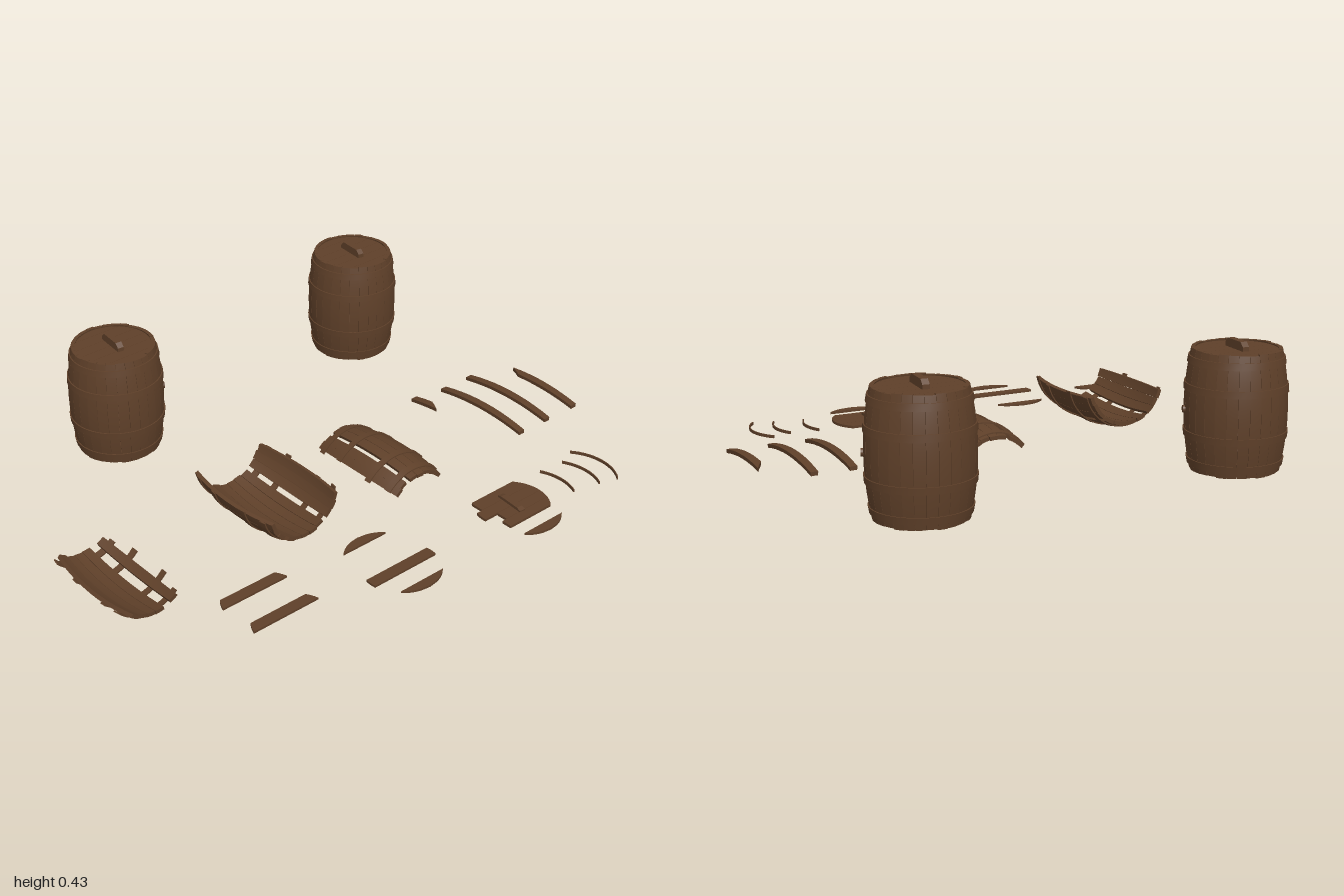
import * as THREE from 'three';

const wood = new THREE.MeshStandardMaterial({ color: 0x5f4029 });
wood.name = 'brown wood';
const L = 0.39;                      // barrel length
const STEP = Math.PI * 2 / 28;       // angle of one stave
const HOOPS = [0.03, 0.12, 0.27, 0.355];
const rad = (d) => d * Math.PI / 180;
// outer radius of the bulging barrel at distance t along its axis
const radius = (t) => 0.163 - 0.021 * (t / (L / 2) - 1) ** 2;

function mesh(name, geo, parent, x = 0, y = 0, z = 0) {
  const m = new THREE.Mesh(geo, wood);
  m.name = name;
  m.position.set(x, y, z);
  parent.add(m);
  return m;
}

function group(name, parent, x, y, z) {
  const g = new THREE.Group();
  g.name = name;
  g.position.set(x, y, z);
  parent.add(g);
  return g;
}

// box bent round the barrel's z axis: angle a from +y, from t0 to t1 along z;
// cut slants the t0 end and cutEnd the t1 end
function bent(a, width, t0, t1, inner, outer, { cut = 0, cutEnd = 0, nx = 2, nz = 10 } = {}) {
  const geo = new THREE.BoxGeometry(1, 1, 1, nx, 1, nz);
  const p = geo.attributes.position;
  for (let i = 0; i < p.count; i++) {
    const u = p.getX(i), v = p.getY(i) + 0.5, w = p.getZ(i) + 0.5;
    const start = t0 + cut * (0.5 - u), end = t1 - cutEnd * (0.5 + u);
    const t = start + (end - start) * w;
    const r = radius(t) + inner + (outer - inner) * v;
    const ang = a + u * width;
    p.setXYZ(i, r * Math.sin(ang), r * Math.cos(ang), t);
  }
  geo.computeVertexNormals();
  return geo;
}

const stave = (a, t0 = 0, t1 = L, opt) => bent(a, STEP * 0.97, t0, t1, -0.013, 0, opt);
const hoop = (a, width, t) => bent(a, width, t - 0.011, t + 0.011, -0.001, 0.004,
  { nx: Math.max(6, Math.round(width * 8)), nz: 1 });

// flat plank cut from a round lid between v0 and v1, optionally snapped short on the left
function plank(v0, v1, thick = 0.007, R = 0.13, left = -1) {
  const pts = [], n = 8;
  for (let i = 0; i <= n; i++) {
    const v = v0 + (v1 - v0) * i / n;
    pts.push(new THREE.Vector2(Math.sqrt(Math.max(0, R * R - v * v)), v));
  }
  for (let i = n; i >= 0; i--) pts.push(new THREE.Vector2(Math.max(left, -pts[i].x), pts[i].y));
  const geo = new THREE.ExtrudeGeometry(new THREE.Shape(pts), { depth: thick, bevelEnabled: false });
  return geo.rotateX(-Math.PI / 2);
}

// ridge-shaped grip lying along z
function handle(parent, y, height) {
  const s = new THREE.Shape([[-0.055, 0], [0.055, 0], [0.055, 0.5], [0.04, 1], [-0.04, 1], [-0.055, 0.5]]
    .map(([a, b]) => new THREE.Vector2(a, b * height)));
  const geo = new THREE.ExtrudeGeometry(s, { depth: 0.022, bevelEnabled: false });
  geo.translate(0, 0, -0.011).rotateY(Math.PI / 2 - 0.1);
  return mesh('lidHandle', geo, parent, 0, y, 0);
}

function barrel(parent, x, z) {
  const g = group('barrel', parent, x, 0.02, z);
  const body = group('barrelBody', g, 0, 0, 0);
  body.rotation.x = -Math.PI / 2;
  for (let i = 0; i < 28; i++) {
    const uneven = 0.003 * ((i * 7) % 4) / 3;
    mesh('stave', stave(i * STEP, uneven, L - uneven), body);
  }
  for (const t of HOOPS) mesh('hoop', hoop(0, Math.PI * 2, t), body);
  const cuts = [-0.134, -0.095, -0.045, 0, 0.045, 0.095, 0.134];
  for (const y of [0.006, 0.374])
    for (let i = 0; i < 6; i++) mesh('lidPlank', plank(cuts[i], cuts[i + 1] - 0.001, 0.01, 0.134), g, 0, y, 0);
  handle(g, 0.384, 0.028);
  // bung in the side
  const bung = mesh('bung', new THREE.CylinderGeometry(0.012, 0.012, 0.016, 12).rotateX(Math.PI / 2), g, 0.15, 0.195, 0.06);
  bung.rotation.y = Math.atan2(0.15, 0.06);
}

// broken shell; angles in degrees from its middle; spans are [from, to] of each hoop
function shell(parent, name, x, y, bowl, angles, spans) {
  const g = group(name, parent, x, y, -0.08);
  const turn = (d) => bowl ? Math.PI - rad(d) : rad(d);
  angles.forEach((d, i) => {
    const uneven = 0.005 * ((i * 5) % 3) / 2;
    mesh('stave', stave(turn(d), uneven, L - uneven), g);
  });
  spans.forEach(([a, b], i) =>
    mesh('brokenHoop', hoop(turn((a + b) / 2), rad(b - a), HOOPS[i]), g));
}

export function createModel() {
  const root = new THREE.Group();
  root.name = 'barrelsAndPieces';

  barrel(root, -0.375, -0.587);
  barrel(root, 0.71, -0.587);

  shell(root, 'smallBowlShell', -0.872, 0.19, true, [-33, -20, -7, 6, 30],
    [[-50, 40], [-42, 47], [-42, 48], [-51, 40]]);
  shell(root, 'largeBowlShell', -0.287, 0.197, true, [-70, -57, -44, -25, -12, 1, 14, 27, 46, 59, 70],
    [[-78, 76], [-76, 79], [-79, 76], [-76, 80]]);
  shell(root, 'archShell', 0.21, -0.063, false, [-40, -29, -10, 3, 16, 29, 40],
    [[-50, 46], [-47, 50], [-50, 49], [-47, 46]]);

  // loose staves, two of them snapped
  const loose = [
    [0.58, -0.10, 0, 0.13, { cutEnd: 0.05 }],
    [0.71, -0.08, 0, L, {}],
    [0.84, -0.08, 0, L, {}],
    [0.98, -0.08, 0.08, L, { cut: 0.05 }],
  ];
  for (const [x, z, t0, t1, opt] of loose)
    mesh('looseStave', bent(0, 0.18, t0, t1, -0.013, 0, opt), root, x, -0.098, z);

  // loose lid planks: centre x, centre z, lower and upper cut
  const planks = [
    [-0.577, 0.45, 0.035, 0.074],
    [-0.575, 0.595, 0.035, 0.074],
    [-0.155, 0.538, 0.094, 0.13],
    [-0.152, 0.61, -0.02, 0.02],
    [-0.15, 0.606, -0.13, -0.095],
  ];
  for (const [x, z, v0, v1] of planks) mesh('loosePlank', plank(v0, v1), root, x, 0.037, z);

  // broken lid with a bite out of its left side
  const lid = group('brokenLid', root, 0.383, 0.011, 0.572);
  for (const [v0, v1, left] of [[0.036, 0.087, -0.1], [-0.008, 0.035, -1], [-0.05, -0.009, -0.075], [-0.088, -0.051, -0.095]])
    mesh('lidPlank', plank(v0, v1, 0.009, 0.13, left), lid);
  handle(lid, 0.009, 0.01);
  handle(lid, 0, 0.011).rotation.z = Math.PI;
  mesh('lidCap', plank(-0.13, -0.095, 0.008), root, 0.383, 0.011, 0.62);

  // loose hoop fragments standing on edge
  for (const [x, z, deg] of [[0.62, 0.578, 28], [0.725, 0.595, 31], [0.81, 0.593, 41]]) {
    const g = group('looseHoop', root, x - 0.165, 0.012 - 0.19, z);
    g.rotation.x = -Math.PI / 2;
    mesh('hoopFragment', bent(Math.PI / 2, rad(deg * 2), 0.19, 0.2, -0.002, 0.002, { nx: 14, nz: 1 }), g);
  }
  return root;
}
